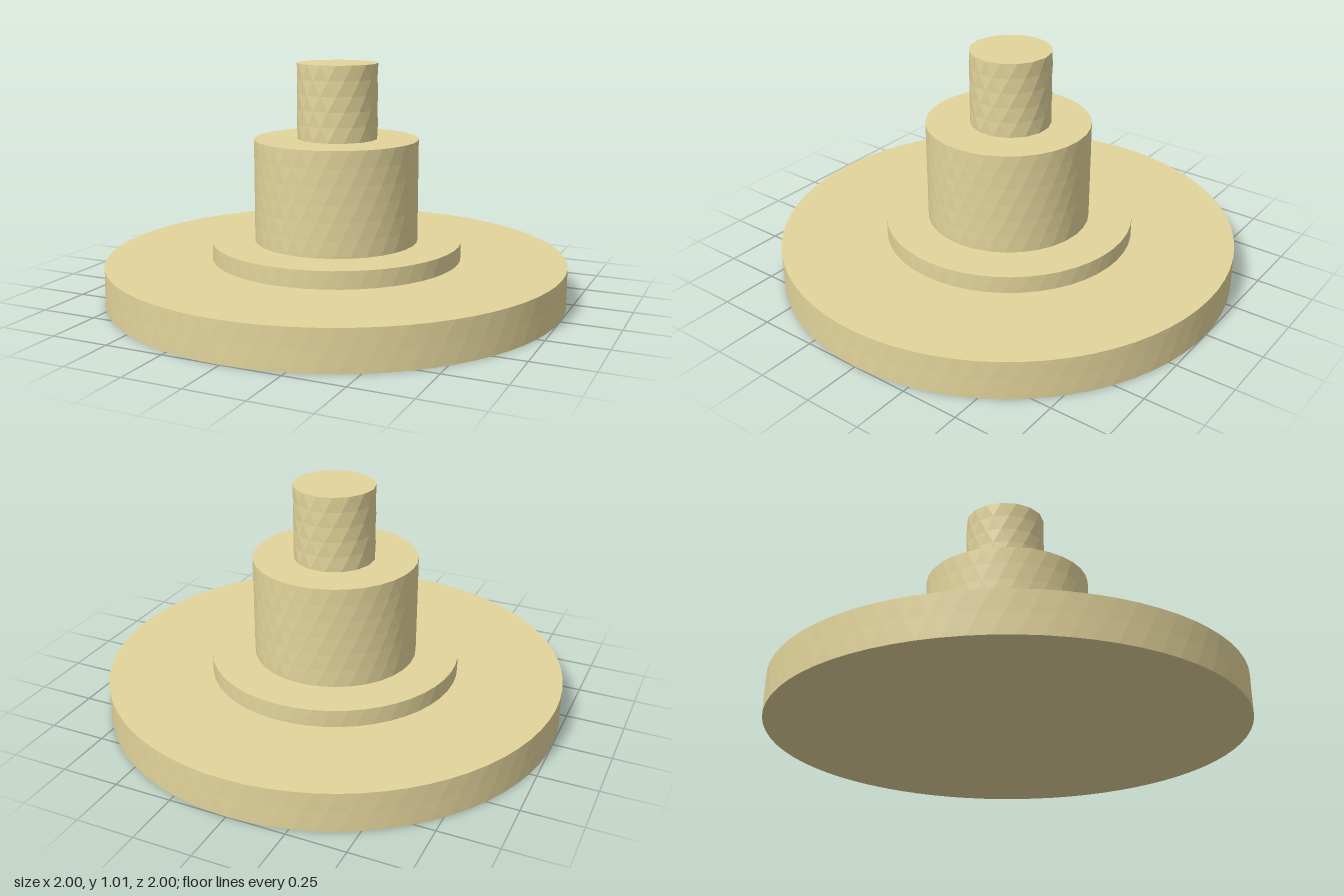
import * as THREE from 'three';

const material = new THREE.MeshStandardMaterial({ color: 0xe3d49b, flatShading: true });

// Faceted drum: each row of side vertices turns half a step, giving staggered triangles
function drum(name, radius, bottom, top, z, sides, rows) {
  const height = top - bottom;
  const geometry = new THREE.CylinderGeometry(radius, radius, height, sides, rows);
  const p = geometry.attributes.position;
  const v = new THREE.Vector3();
  const up = new THREE.Vector3(0, 1, 0);
  for (let i = 0; i < p.count; i++) {
    v.fromBufferAttribute(p, i);
    const row = Math.round((0.5 - v.y / height) * rows);
    v.applyAxisAngle(up, row * Math.PI / sides);
    p.setXYZ(i, v.x, v.y, v.z);
  }
  geometry.computeVertexNormals();
  const mesh = new THREE.Mesh(geometry, material);
  mesh.name = name;
  mesh.position.set(0, bottom + height / 2, z);
  return mesh;
}

export function createModel() {
  const model = new THREE.Group();
  model.name = 'steppedPedestal';
  model.add(
    drum('baseDisc', 1, 0, 0.17, 0, 72, 2),
    drum('collar', 0.543, 0.17, 0.245, -0.007, 48, 1),
    drum('hub', 0.356, 0.245, 0.69, -0.004, 32, 6),
    drum('post', 0.175, 0.69, 1.015, -0.015, 16, 5),
  );
  return model;
}
